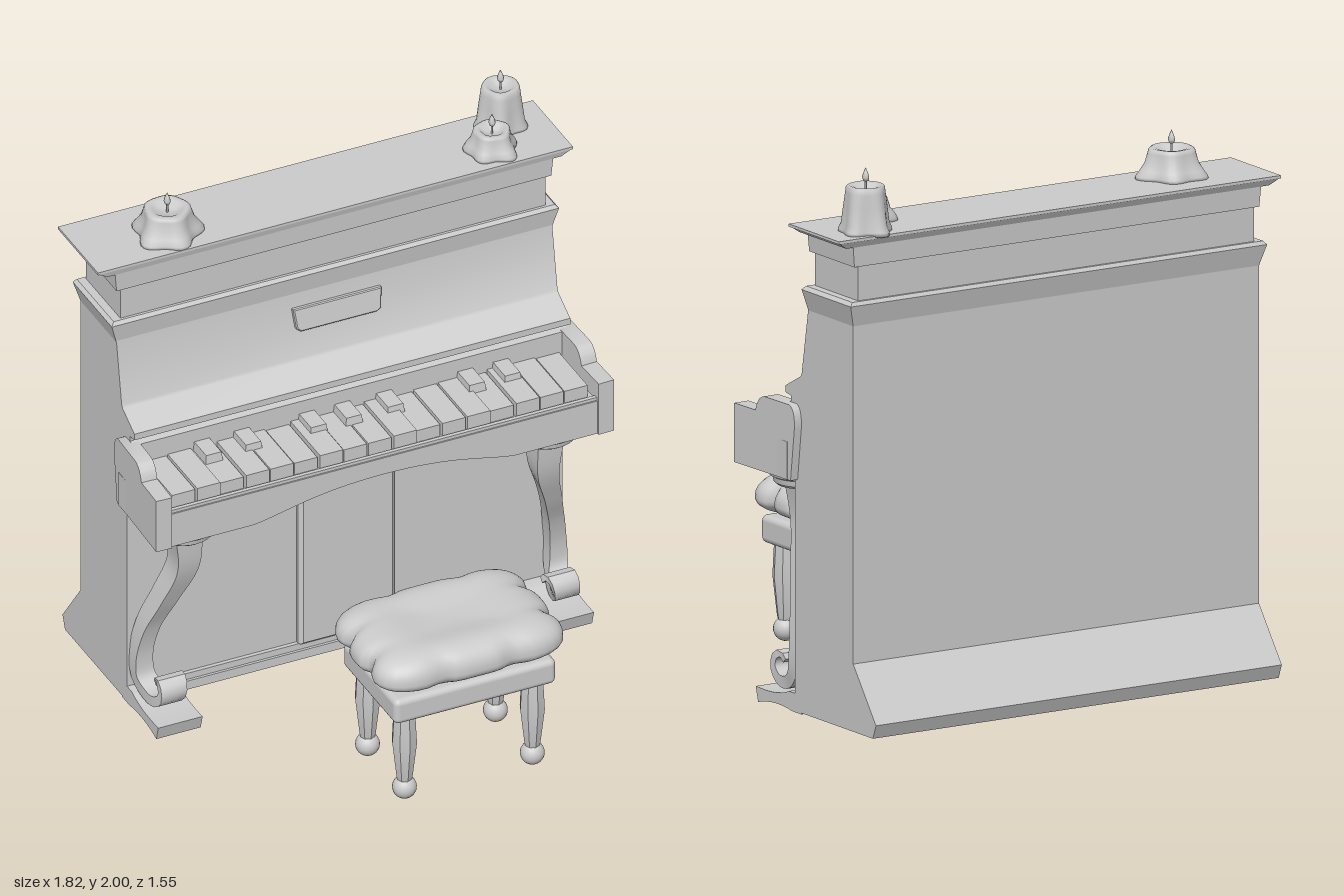
import * as THREE from 'three';
import { mergeVertices, toCreasedNormals } from 'three/addons/utils/BufferGeometryUtils.js';
import { RoundedBoxGeometry } from 'three/addons/geometries/RoundedBoxGeometry.js';

const material = new THREE.MeshStandardMaterial({ color: 0xcccccc });
const V = (x, y, z) => new THREE.Vector3(x, y, z);

function add(parent, name, geometry, x = 0, y = 0, z = 0) {
  const mesh = new THREE.Mesh(geometry, material);
  mesh.name = name;
  mesh.position.set(x, y, z);
  parent.add(mesh);
  return mesh;
}

// Box given by its limits on each axis
function box(parent, name, x0, x1, y0, y1, z0, z1) {
  return add(parent, name, new THREE.BoxGeometry(x1 - x0, y1 - y0, z1 - z0),
    (x0 + x1) / 2, (y0 + y1) / 2, (z0 + z1) / 2);
}

// Shape drawn in (z, y), extruded across x and centred
function sideExtrude(shape, width) {
  const g = new THREE.ExtrudeGeometry(shape, { depth: width, bevelEnabled: false, curveSegments: 10 });
  g.translate(0, 0, -width / 2).rotateY(-Math.PI / 2);
  return toCreasedNormals(g, 0.5);
}
const polygon = pts => new THREE.Shape(pts.map(p => new THREE.Vector2(p[0], p[1])));

// Rectangular moulding whose half width and z limits change from bottom to top
function tier(parent, name, y0, y1, [w0, f0, b0], [w1, f1, b1]) {
  const g = new THREE.BoxGeometry(2, 1, 1);
  const p = g.attributes.position;
  for (let i = 0; i < p.count; i++) {
    const up = p.getY(i) > 0, front = p.getZ(i) > 0;
    p.setXYZ(i, Math.sign(p.getX(i)) * (up ? w1 : w0), up ? y1 : y0,
      up ? (front ? f1 : b1) : (front ? f0 : b0));
  }
  g.computeVertexNormals();
  return add(parent, name, g);
}

// Move the vertices of a smooth closed form by a rule
function sculpt(geometry, rule) {
  geometry.deleteAttribute('uv');
  geometry.deleteAttribute('normal');
  const g = mergeVertices(geometry, 1e-4), p = g.attributes.position, v = V(0, 0, 0);
  for (let i = 0; i < p.count; i++) {
    v.fromBufferAttribute(p, i);
    rule(v);
    p.setXYZ(i, v.x, v.y, v.z);
  }
  g.computeVertexNormals();
  return g;
}

const lathe = (pts, n) => new THREE.LatheGeometry(pts.map(p => new THREE.Vector2(p[0], p[1])), n);

// Rectangular bar swept along a path, changing half width and half thickness
function sweptBar(points, size, n = 44) {
  const curve = new THREE.CatmullRomCurve3(points), pos = [], idx = [];
  for (let i = 0; i <= n; i++) {
    const u = i / n, c = curve.getPointAt(u), t = curve.getTangentAt(u);
    const nrm = t.clone().cross(V(1, 0, 0)).normalize(), [w, h] = size(u);
    for (const [a, b] of [[-1, -1], [1, -1], [1, 1], [-1, 1]])
      pos.push(c.x + a * w, c.y + b * h * nrm.y, c.z + b * h * nrm.z);
    if (i < n) for (let j = 0; j < 4; j++) {
      const a = i * 4 + j, b = i * 4 + (j + 1) % 4;
      idx.push(a, b, b + 4, a, b + 4, a + 4);
    }
  }
  const e = n * 4;
  idx.push(0, 2, 1, 0, 3, 2, e, e + 1, e + 2, e, e + 2, e + 3);
  const g = new THREE.BufferGeometry();
  g.setAttribute('position', new THREE.Float32BufferAttribute(pos, 3));
  g.setIndex(idx);
  return toCreasedNormals(g, 0.7);
}

function candle(parent, x, z, top, r, base, phase) {
  const group = new THREE.Group();
  group.name = 'candle';
  group.position.set(x, 1.77, z);
  parent.add(group);
  const h = top - 1.77;
  // Melted wax: the foot spreads in uneven drips
  const wax = lathe([[0, 0], [base, 0], [base, 0.015], [base * 0.9, 0.035], [r * 1.12, h * 0.55],
    [r * 1.03, h * 0.85], [r, h * 0.96], [r * 0.88, h], [r * 0.65, h * 0.97], [r * 0.4, h - 0.018], [0, h - 0.02]], 40);
  add(group, 'wax', sculpt(wax, v => {
    const a = Math.atan2(v.z, v.x), low = 1 - v.y / h;
    const k = 1 + (0.03 + 0.09 * low) * Math.sin(5 * a + phase) + 0.05 * low * Math.sin(3 * a + 2 * phase);
    v.x *= k;
    v.z *= k;
  }));
  add(group, 'wick', new THREE.CylinderGeometry(0.004, 0.004, 0.04, 6), 0, h - 0.003, 0);
  const flame = lathe([[0, 0], [0.011, 0.008], [0.015, 0.019], [0.01, 0.034], [0.004, 0.046], [0, 0.054]], 10);
  add(group, 'flame', flame, 0, h + 0.008, 0).scale.x = 0.8;
}

function buildPiano(root) {
  const piano = new THREE.Group();
  piano.name = 'piano';
  root.add(piano);

  // Case with flared back foot, music shelf and leaning desk
  const profile = polygon([[-0.755, 0.02], [-0.26, 0.02], [-0.26, 0.95], [-0.21, 0.95], [-0.21, 1.11],
    [-0.235, 1.115], [-0.235, 1.135], [-0.2, 1.14], [-0.2, 1.165], [-0.295, 1.215], [-0.302, 1.225],
    [-0.345, 1.47], [-0.35, 1.53], [-0.63, 1.53], [-0.63, 0.26], [-0.775, 0.07]]);
  add(piano, 'case', sideExtrude(profile, 1.67));

  // Cornice, frieze and lid
  tier(piano, 'cornice', 1.46, 1.535, [0.835, -0.345, -0.63], [0.857, -0.335, -0.648]);
  tier(piano, 'corniceTop', 1.535, 1.548, [0.857, -0.335, -0.648], [0.845, -0.345, -0.64]);
  tier(piano, 'frieze', 1.54, 1.675, [0.815, -0.355, -0.63], [0.815, -0.355, -0.63]);
  tier(piano, 'friezeCap', 1.67, 1.75, [0.833, -0.347, -0.635], [0.84, -0.345, -0.637]);
  tier(piano, 'lidMoulding', 1.742, 1.765, [0.87, -0.343, -0.64], [0.905, -0.337, -0.652]);
  tier(piano, 'lid', 1.765, 1.775, [0.91, -0.335, -0.655], [0.91, -0.335, -0.655]);

  // Leaning plaque on the desk
  const plaque = new THREE.ExtrudeGeometry(polygon([[-0.145, -0.04], [0.145, -0.04], [0.158, -0.03],
    [0.165, 0.04], [-0.165, 0.04], [-0.158, -0.03]]),
  { depth: 0.02, bevelEnabled: true, bevelSize: 0.004, bevelThickness: 0.004, bevelSegments: 1 });
  add(piano, 'deskPlaque', plaque, 0, 1.37, -0.333).rotation.x = -0.18;

  // Lower front: bevelled centre panel and plinth
  const panel = new THREE.ExtrudeGeometry(polygon([[-0.17, 0.085], [0.17, 0.085], [0.17, 0.92], [-0.17, 0.92]]),
    { depth: 0.01, bevelEnabled: true, bevelSize: 0.015, bevelThickness: 0.015, bevelSegments: 1 });
  add(piano, 'centrePanel', panel, 0, 0, -0.26);
  box(piano, 'plinth', -0.835, 0.835, 0.02, 0.055, -0.3, -0.235);
  box(piano, 'plinthCap', -0.835, 0.835, 0.055, 0.08, -0.3, -0.245);

  // Key bed with an arched lower edge
  const bed = polygon([[-0.868, 0.98], [-0.868, 0.845], [-0.5, 0.845]]);
  bed.bezierCurveTo(-0.38, 0.86, -0.27, 0.912, 0, 0.912);
  bed.bezierCurveTo(0.27, 0.912, 0.38, 0.86, 0.5, 0.845);
  bed.lineTo(0.868, 0.845);
  bed.lineTo(0.868, 0.98);
  const bedGeometry = new THREE.ExtrudeGeometry(bed, { depth: 0.315, bevelEnabled: false, curveSegments: 16 });
  add(piano, 'keyBed', toCreasedNormals(bedGeometry, 0.5), 0, 0, -0.26);
  box(piano, 'keySlip', -0.82, 0.82, 0.975, 0.992, 0.035, 0.05);

  // Keys
  const count = 17, step = 1.6 / count;
  for (let i = 0; i < count; i++) {
    const x = -0.8 + i * step, lift = 0.006 * Math.sin(i * 2.3);
    box(piano, 'whiteKey', x + 0.003, x + step - 0.003, 0.975, 1.033 + lift, -0.215, 0.022 + lift);
  }
  for (const x of [-0.572, -0.42, -0.17, -0.035, 0.125, 0.437, 0.573])
    tier(piano, 'blackKey', 1.02, 1.06, [0.034, -0.108, -0.215], [0.029, -0.114, -0.215]).position.x = x;

  for (const s of [1, -1]) {
    const side = s > 0 ? 'left' : 'right';
    // Cheek with a raised rounded rear
    const cheek = new THREE.Shape();
    cheek.moveTo(0.063, 0.845);
    cheek.lineTo(0.063, 1.055);
    cheek.lineTo(-0.065, 1.055);
    cheek.quadraticCurveTo(-0.08, 1.11, -0.12, 1.113);
    cheek.lineTo(-0.27, 1.113);
    cheek.quadraticCurveTo(-0.305, 1.1, -0.3, 1.03);
    cheek.lineTo(-0.277, 0.845);
    add(piano, side + 'Cheek', sideExtrude(cheek, 0.06), s * 0.845).rotation.y = s * 0.035;

    // Front leg: round cap, S-curved bar and curled toe
    add(piano, side + 'LegCap', toCreasedNormals(lathe([[0, 0.78], [0.095, 0.78], [0.108, 0.79], [0.112, 0.81],
      [0.122, 0.815], [0.127, 0.83], [0.125, 0.85], [0, 0.85]], 28), 0.6), s * 0.695, 0, -0.105);
    const path = [[0.695, 0.8, -0.1], [0.69, 0.65, -0.113], [0.735, 0.5, -0.16], [0.775, 0.36, -0.213],
      [0.793, 0.23, -0.235], [0.79, 0.14, -0.222], [0.775, 0.1, -0.17], [0.765, 0.1, -0.11], [0.755, 0.135, -0.068],
      [0.75, 0.175, -0.075], [0.745, 0.187, -0.105], [0.74, 0.165, -0.125]];
    add(piano, side + 'Leg', sweptBar(path.map(([x, y, z]) => V(s * x, y, z)),
      u => [0.052 - 0.022 * Math.sin(Math.PI * Math.min(1, u * 1.05)), u < 0.65 ? 0.048 - 0.03 * u : 0.0285 - 0.05 * (u - 0.65)]));

    // Foot under the leg
    const foot = new THREE.Shape();
    foot.moveTo(-0.3, 0.015);
    foot.lineTo(-0.24, 0.015);
    foot.quadraticCurveTo(-0.13, 0.035, -0.025, 0.004);
    foot.lineTo(-0.01, 0.058);
    foot.quadraticCurveTo(-0.15, 0.05, -0.22, 0.082);
    foot.lineTo(-0.3, 0.082);
    add(piano, side + 'Foot', sideExtrude(foot, 0.17), s * 0.75);
  }

  candle(piano, -0.585, -0.46, 1.88, 0.08, 0.115, 0.6);
  candle(piano, 0.65, -0.44, 1.862, 0.063, 0.09, 2.1);
  candle(piano, 0.745, -0.57, 1.94, 0.067, 0.09, 4);
}

function buildStool(root) {
  const stool = new THREE.Group();
  stool.name = 'stool';
  stool.position.set(0.025, 0, 0.522);
  root.add(stool);

  // Puffed cushion with pinched edges and a sunken middle
  const pinch = (t, at) => Math.exp(-(((Math.abs(t) - at) / 0.11) ** 2));
  add(stool, 'cushion', sculpt(new THREE.SphereGeometry(1, 72, 48), v => {
    const h = Math.hypot(v.x, v.z), angle = Math.atan2(v.z, v.x), c = Math.cos(angle), s = Math.sin(angle);
    const k = Math.pow(h, 0.8) / Math.pow(Math.abs(c) ** 5 + Math.abs(s) ** 5, 0.2);
    const X = c * k, Z = s * k, edge = h ** 3;
    const crease = edge * Math.max(pinch(X, 0.38) * Math.abs(Z) ** 3, 1.3 * pinch(Z, 0.34) * Math.abs(X) ** 3);
    const y = Math.sign(v.y) * Math.abs(v.y) ** 0.85;
    const dip = y > 0 ? 0.055 * Math.exp(-((h / 0.55) ** 2)) : 0;
    v.set(X * 0.365 * (1 - 0.08 * crease), 0.525 + y * (y > 0 ? 0.125 : 0.075) * (1 - 0.25 * crease) - dip,
      Z * 0.255 * (1 - 0.08 * crease));
  }));
  add(stool, 'seatFrame', new RoundedBoxGeometry(0.62, 0.1, 0.425, 3, 0.022), 0, 0.405, 0.003);

  // Faceted legs on ball feet
  for (const x of [-0.245, 0.245]) for (const z of [-0.142, 0.153]) {
    add(stool, 'stoolLeg', toCreasedNormals(lathe([[0, 0.08], [0.025, 0.08], [0.03, 0.1], [0.046, 0.24],
      [0.04, 0.36], [0, 0.36]], 8), 0.3), x, 0, z);
    add(stool, 'ballFoot', new THREE.SphereGeometry(0.043, 20, 14), x, 0.052, z);
  }
}

export function createModel() {
  const root = new THREE.Group();
  root.name = 'pianoWithStool';
  buildPiano(root);
  buildStool(root);
  return root;
}
